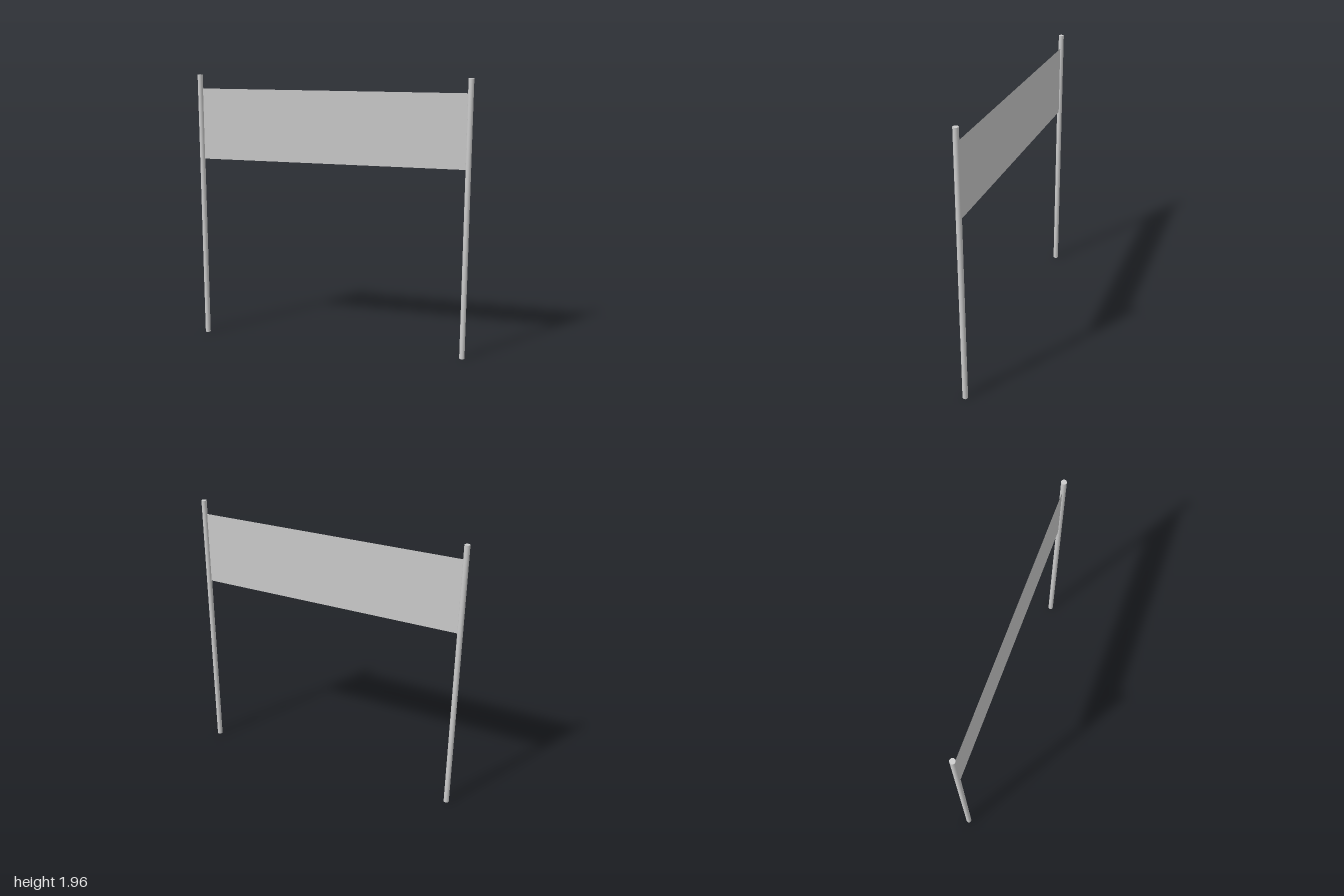
import * as THREE from 'three';

const POLE_X = 0.981, POLE_RADIUS = 0.019, POLE_HEIGHT = 1.964;
const BANNER_BOTTOM = 1.35, BANNER_TOP = 1.865;

export function createModel() {
  const model = new THREE.Group();
  model.name = 'bannerOnPoles';
  const poleMaterial = new THREE.MeshStandardMaterial({ color: 0xcccccc });
  const bannerMaterial = new THREE.MeshStandardMaterial({ color: 0xcccccc, side: THREE.DoubleSide });

  // Two round upright poles
  const poleGeometry = new THREE.CylinderGeometry(POLE_RADIUS, POLE_RADIUS, POLE_HEIGHT, 16);
  for (const [name, side] of [['leftPole', 1], ['rightPole', -1]]) {
    const pole = new THREE.Mesh(poleGeometry, poleMaterial);
    pole.name = name;
    pole.position.set(side * POLE_X, POLE_HEIGHT / 2, 0);
    model.add(pole);
  }

  // Thin flat banner stretched between the pole centres
  const banner = new THREE.Mesh(
    new THREE.PlaneGeometry(2 * POLE_X, BANNER_TOP - BANNER_BOTTOM),
    bannerMaterial
  );
  banner.name = 'banner';
  banner.position.y = (BANNER_TOP + BANNER_BOTTOM) / 2;
  model.add(banner);

  return model;
}
